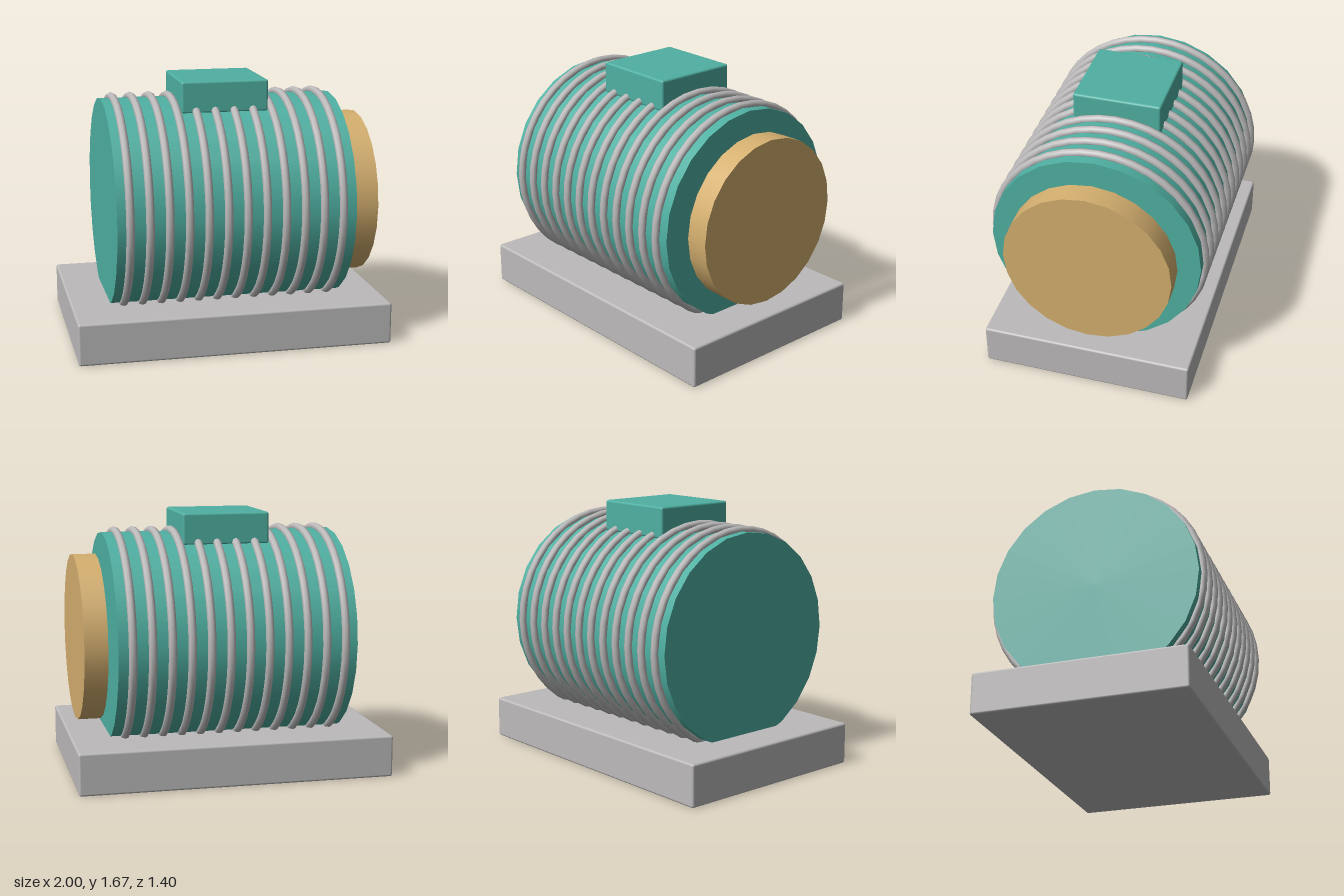
import * as THREE from 'three';
import { RoundedBoxGeometry } from 'three/addons/geometries/RoundedBoxGeometry.js';

const AXIS_Y = 0.867; // height of the drum axis

function material(name, color) {
  const m = new THREE.MeshStandardMaterial({ color });
  m.name = name;
  return m;
}

export function createModel() {
  const teal = material('teal', 0x4fb0a2);
  const grey = material('grey', 0xbcbaba);
  const gold = material('gold', 0xd4af6f);

  const model = new THREE.Group();
  model.name = 'motor';

  const add = (parent, name, geometry, mat, x, y, z) => {
    const mesh = new THREE.Mesh(geometry, mat);
    mesh.name = name;
    mesh.position.set(x, y, z);
    parent.add(mesh);
    return mesh;
  };

  // Cylinder lying along x
  const drum = (radius, length) =>
    new THREE.CylinderGeometry(radius, radius, length, 24).rotateZ(-Math.PI / 2);

  // Base plate
  add(model, 'base', new RoundedBoxGeometry(2, 0.267, 1.333, 2, 0.014), grey, 0, 0.1335, 0);

  // Motor body and the separate end disc
  add(model, 'body', drum(0.667, 1.5), teal, 0, AXIS_Y, 0);
  add(model, 'endDisc', drum(0.531, 0.146), gold, 0.863, AXIS_Y, 0);

  // Terminal box on top
  add(model, 'terminalBox', new RoundedBoxGeometry(0.555, 0.2, 0.555, 2, 0.014), teal, -0.002, 1.566, 0);

  // Cooling rings around the body
  const rings = new THREE.Group();
  rings.name = 'coolingRings';
  const ringGeometry = new THREE.TorusGeometry(0.673, 0.026, 8, 40).rotateY(Math.PI / 2);
  for (let i = 0; i < 12; i++) {
    add(rings, 'coolingRing', ringGeometry, grey, -0.671 + i * 0.1212, AXIS_Y, 0);
  }
  model.add(rings);

  return model;
}
